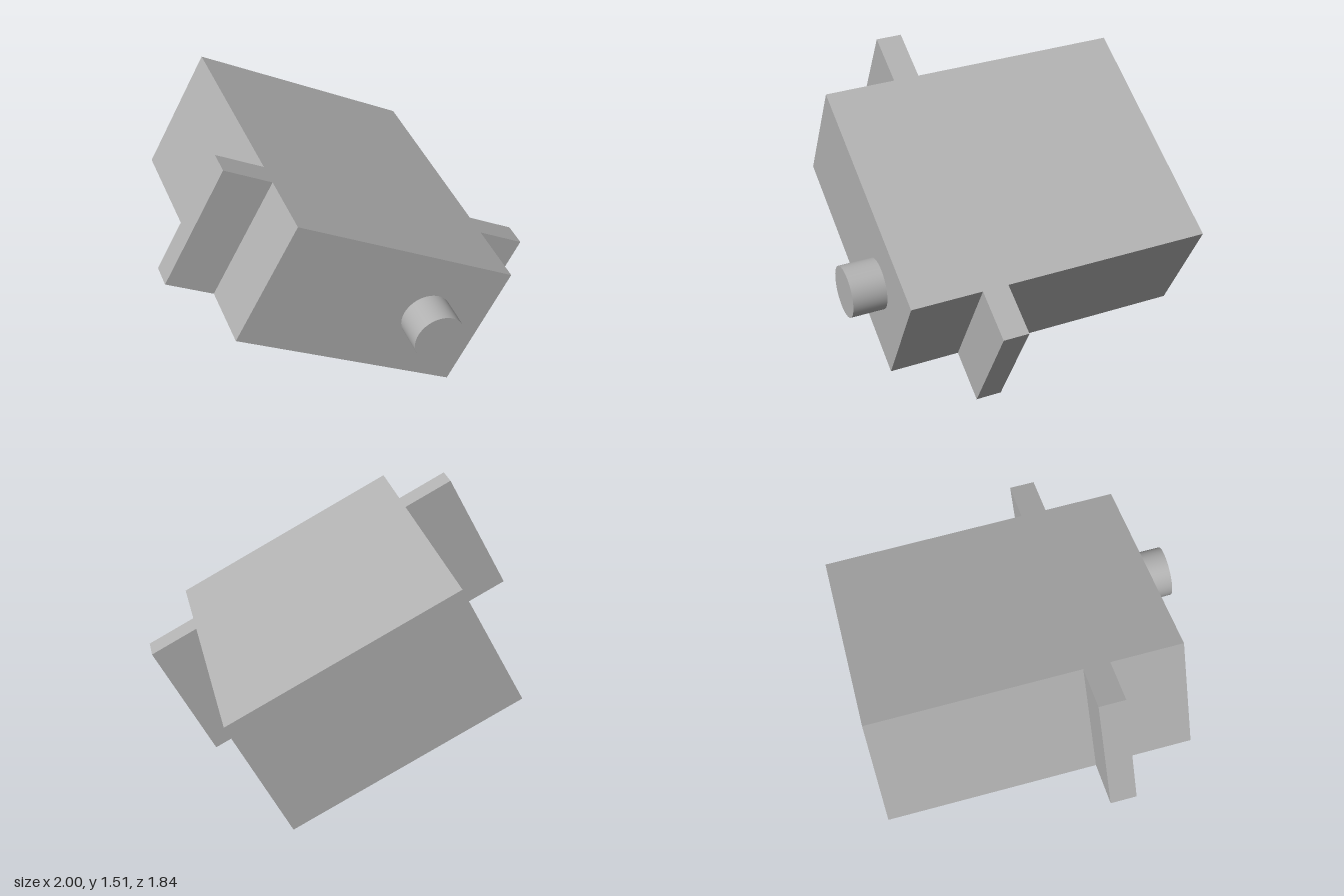
import * as THREE from 'three';

export function createModel() {
  const model = new THREE.Group();
  model.name = 'tiltedHousing';
  const grey = new THREE.MeshStandardMaterial({ color: 0xb2b2b2 });
  grey.name = 'grey';

  const bodyLength = 1.324, fullLength = 1.889, height = 0.708;
  const frontZ = 0.735, backZ = -0.92;

  // Everything is built square, then the whole assembly leans over
  const tilted = new THREE.Group();
  tilted.name = 'tiltedAssembly';
  tilted.position.y = 0.758;
  tilted.rotation.z = -Math.atan2(0.888, 1.667);
  model.add(tilted);

  function add(name, geometry, x, y, z) {
    const mesh = new THREE.Mesh(geometry, grey);
    mesh.name = name;
    mesh.position.set(x, y, z);
    tilted.add(mesh);
    return mesh;
  }

  // Main block
  add('body', new THREE.BoxGeometry(bodyLength, height, frontZ - backZ), 0, 0, (frontZ + backZ) / 2);

  // Mounting tab on each end
  const tabLength = (fullLength - bodyLength) / 2;
  for (const side of [-1, 1]) {
    add(side > 0 ? 'leftTab' : 'rightTab', new THREE.BoxGeometry(tabLength, height, 0.14),
      side * (bodyLength + tabLength) / 2, 0, 0.28);
  }

  // Output shaft on the front face
  const shaftLength = 0.92 - frontZ;
  const shaft = add('shaft', new THREE.CylinderGeometry(0.138, 0.138, shaftLength, 64),
    0.311, 0, frontZ + shaftLength / 2);
  shaft.rotation.x = Math.PI / 2;

  return model;
}
